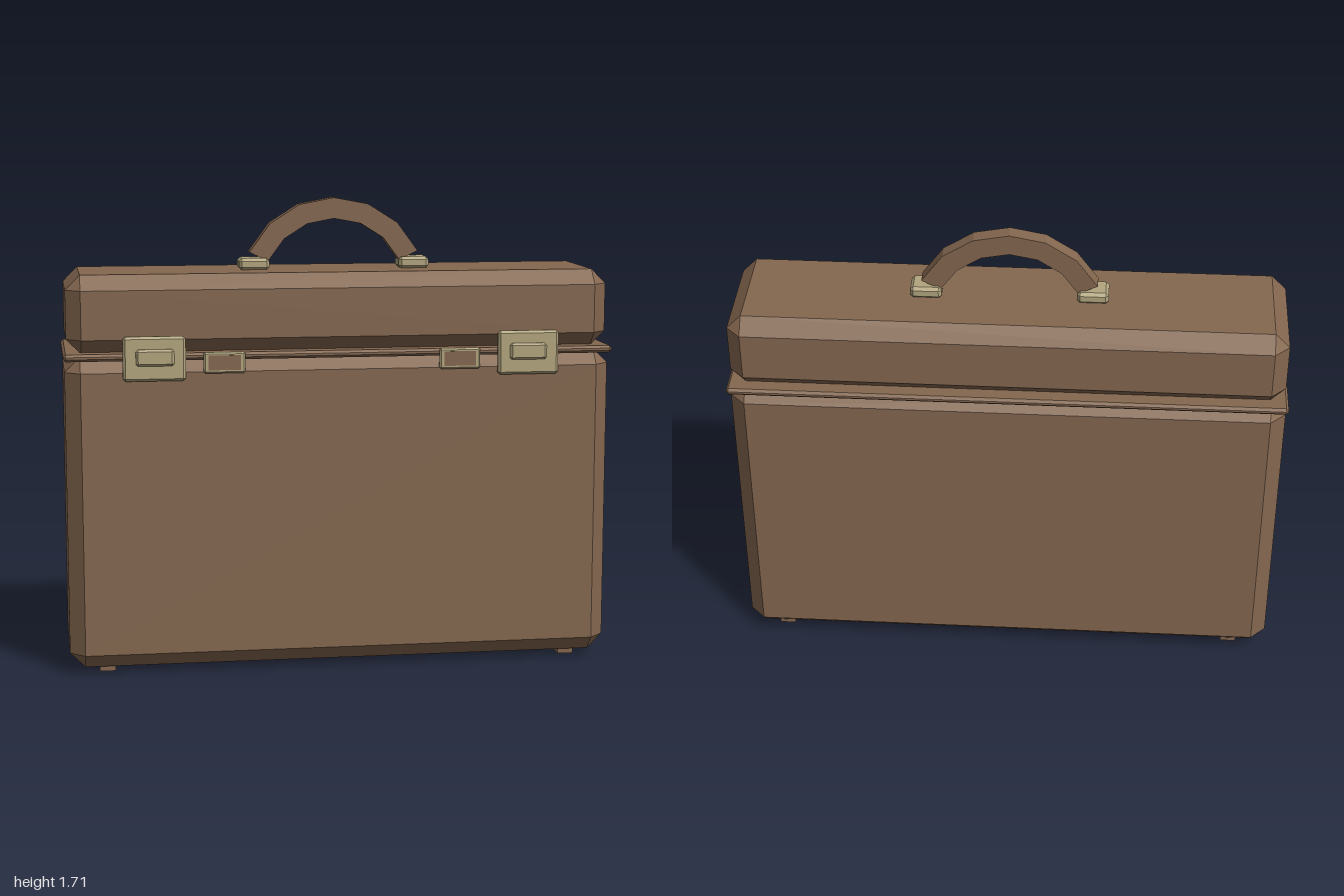
import * as THREE from 'three';
import { ConvexGeometry } from 'three/addons/geometries/ConvexGeometry.js';

const leather = new THREE.MeshStandardMaterial({ color: 0x84674f });
leather.name = 'brown leather';
const brass = new THREE.MeshStandardMaterial({ color: 0xb3a67f });
brass.name = 'pale brass';

// Box with every edge cut by a single flat chamfer c, given by its min and max corners
function chamferBox(name, min, max, c, material) {
  const half = min.map((v, i) => (max[i] - v) / 2);
  const points = [];
  for (const sx of [-1, 1]) for (const sy of [-1, 1]) for (const sz of [-1, 1]) {
    for (let axis = 0; axis < 3; axis++) {
      const p = [sx, sy, sz].map((s, i) => s * (half[i] - (i === axis ? 0 : c)));
      points.push(new THREE.Vector3(...p));
    }
  }
  const mesh = new THREE.Mesh(new ConvexGeometry(points), material);
  mesh.name = name;
  mesh.position.set(...min.map((v, i) => (v + max[i]) / 2));
  return mesh;
}

function box(name, min, max, material) {
  const size = min.map((v, i) => max[i] - v);
  const mesh = new THREE.Mesh(new THREE.BoxGeometry(...size), material);
  mesh.name = name;
  mesh.position.set(...min.map((v, i) => (v + max[i]) / 2));
  return mesh;
}

// Faceted arch with a rectangular section
function makeHandle() {
  const inner = 0.27, outer = 0.346, steps = 6, spread = THREE.MathUtils.degToRad(64.5);
  const arc = (r) => Array.from({ length: steps + 1 }, (_, i) => {
    const a = spread * (2 * i / steps - 1);
    return new THREE.Vector2(r * Math.sin(a), r * Math.cos(a));
  });
  const shape = new THREE.Shape([...arc(outer), ...arc(inner).reverse()]);
  const geometry = new THREE.ExtrudeGeometry(shape, { depth: 0.057, bevelEnabled: false });
  const handle = new THREE.Mesh(geometry, leather);
  handle.name = 'handle';
  handle.position.set(0, 1.364, -0.043);
  return handle;
}

export function createModel() {
  const model = new THREE.Group();
  model.name = 'briefcase';

  // Case body, rim and lid
  model.add(
    chamferBox('body', [-0.995, 0.02, -0.263], [0.995, 1.16, 0.235], 0.055, leather),
    chamferBox('rim', [-1, 1.147, -0.274], [1, 1.173, 0.233], 0.009, leather),
    chamferBox('lid', [-0.988, 1.168, -0.263], [0.988, 1.45, 0.214], 0.053, leather),
    makeHandle()
  );

  for (const side of [-1, 1]) {
    // Min and max corners of a block centred at x on this side
    const add = (make, name, x, w, y0, y1, z0, z1, ...rest) => model.add(
      make(name, [side * x - w / 2, y0, z0], [side * x + w / 2, y1, z1], ...rest));

    // Handle mounts
    add(chamferBox, 'handleMount', 0.296, 0.112, 1.448, 1.492, -0.062, 0.033, 0.011, brass);

    // Main latch: plate and raised button
    add(chamferBox, 'latchPlate', 0.679, 0.224, 1.077, 1.237, 0.235, 0.262, 0.009, brass);
    add(chamferBox, 'latchButton', 0.677, 0.136, 1.132, 1.192, 0.25, 0.274, 0.008, brass);

    // Small clasp: brass frame around a leather inlay
    add(chamferBox, 'claspFrame', 0.428, 0.15, 1.1, 1.176, 0.232, 0.25, 0.006, brass);
    add(box, 'claspInlay', 0.428, 0.116, 1.112, 1.165, 0.246, 0.252, leather);

    // Feet
    for (const z of [0.143, -0.174]) {
      add(box, 'foot', 0.858, 0.058, 0, 0.025, z - 0.029, z + 0.029, leather);
    }
  }
  return model;
}
